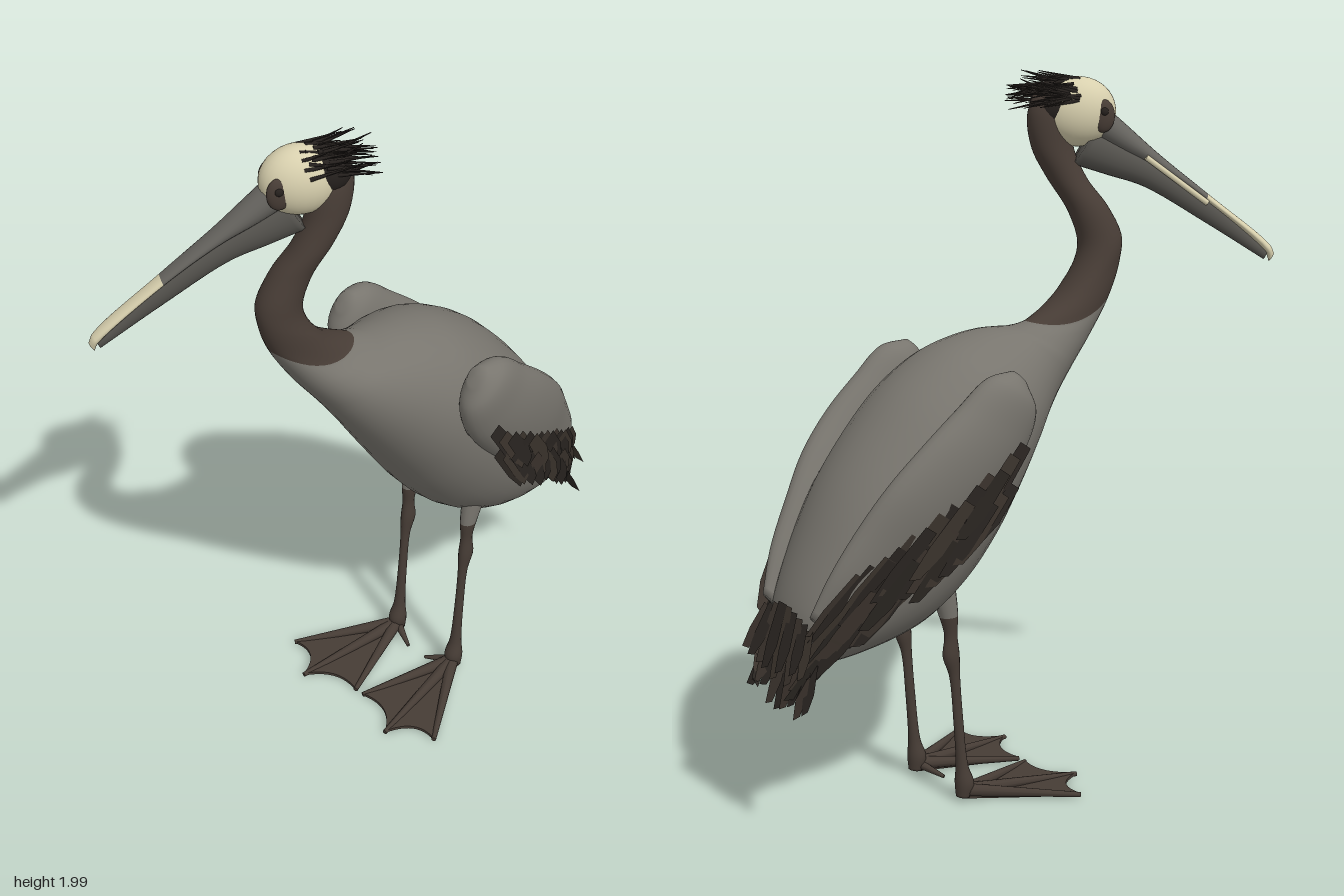
import * as THREE from 'three';
import { mergeGeometries } from 'three/addons/utils/BufferGeometryUtils.js';

const V = (x, y, z) => new THREE.Vector3(x, y, z);
const mat = (name, color, side = THREE.FrontSide) => {
  const m = new THREE.MeshStandardMaterial({ color, side });
  m.name = name;
  return m;
};

// Seeded random for ragged feathers
let seed = 7;
const rnd = () => ((seed = (seed * 16807) % 2147483647) / 2147483647);

// Smooth loft through oval sections [frontZ, frontY, backZ, backY, halfWidth, centreX, sag of the sides].
// split is the section index where the second material begins.
function loft(name, secs, mats, split = secs.length - 1, around = 28, steps = 6) {
  const cf = new THREE.CatmullRomCurve3(secs.map(s => V(s[0], s[1], s[4])));
  const cb = new THREE.CatmullRomCurve3(secs.map(s => V(s[2], s[3], s[5])));
  const rows = (secs.length - 1) * steps, pos = [], idx = [];
  for (let i = 0; i <= rows; i++) {
    const f = cf.getPoint(i / rows), b = cb.getPoint(i / rows), k = Math.floor(i / steps);
    const sag = THREE.MathUtils.lerp(secs[k][6] || 0, secs[Math.min(k + 1, secs.length - 1)][6] || 0, i / steps - k);
    for (let j = 0; j < around; j++) {
      const a = (j / around) * Math.PI * 2, c = Math.cos(a) / 2, s = Math.sin(a);
      pos.push(b.z + s * f.z, (f.y + b.y) / 2 + c * (b.y - f.y) - sag * s * s, (f.x + b.x) / 2 + c * (b.x - f.x));
    }
  }
  for (const s of [secs[0], secs[secs.length - 1]]) pos.push(s[5], (s[1] + s[3]) / 2, (s[0] + s[2]) / 2);
  const c0 = (rows + 1) * around, c1 = c0 + 1;
  for (let j = 0; j < around; j++) idx.push(c0, j, (j + 1) % around);
  for (let i = 0; i < rows; i++) for (let j = 0; j < around; j++) {
    const k = (j + 1) % around, p = i * around, q = p + around;
    idx.push(p + j, q + j, p + k, p + k, q + j, q + k);
  }
  for (let j = 0; j < around; j++) idx.push(c1, rows * around + (j + 1) % around, rows * around + j);
  const g = new THREE.BufferGeometry();
  g.setAttribute('position', new THREE.Float32BufferAttribute(pos, 3));
  g.setIndex(idx);
  g.computeVertexNormals();
  const cut = (around + split * steps * around * 2) * 3;
  g.addGroup(0, cut, 0);
  g.addGroup(cut, idx.length - cut, 1);
  const m = new THREE.Mesh(g, [mats[0], mats[1] || mats[0]]);
  m.name = name;
  return m;
}

// Tapered rod between two points
function rod(p, q, r1, r2, sides = 10) {
  const d = q.clone().sub(p), g = new THREE.CylinderGeometry(r2, r1, d.length(), sides);
  g.applyQuaternion(new THREE.Quaternion().setFromUnitVectors(V(0, 1, 0), d.clone().normalize()));
  return g.translate((p.x + q.x) / 2, (p.y + q.y) / 2, (p.z + q.z) / 2);
}

// Flat feather from p to q, facing n
const blade = new THREE.Shape([[-.4, 0], [.4, 0], [.5, .6], [.35, 1], [-.2, .93], [-.5, .6]].map(a => new THREE.Vector2(...a)));
function feather(p, q, width, n) {
  const d = q.clone().sub(p), side = d.clone().cross(n).normalize();
  const nn = side.clone().cross(d).normalize();
  return new THREE.ShapeGeometry(blade).applyMatrix4(
    new THREE.Matrix4().makeBasis(side.multiplyScalar(width), d, nn).setPosition(p));
}

function merged(name, geos, material) {
  const m = new THREE.Mesh(mergeGeometries(geos), material);
  m.name = name;
  return m;
}

export function createModel() {
  const root = new THREE.Group();
  root.name = 'waterBird';
  const grey = mat('plumageGrey', 0x78756e);
  const brown = mat('neckBrown', 0x483d36);
  const cream = mat('cream', 0xd8d0ae);
  const leg = mat('legBrown', 0x463c35);
  const bill = mat('billGrey', 0x66645f);
  const pouch = mat('pouchGrey', 0x55534e);
  const quill = mat('featherDark', 0x2c2723, THREE.DoubleSide);
  const quill2 = mat('featherBrown', 0x3e362f, THREE.DoubleSide);
  const black = mat('crestDark', 0x26211e);

  // Body and S-shaped neck in one skin
  root.add(loft('bodyAndNeck', [
    [-.66, .52, -.69, .57, .06, 0],
    [-.6, .475, -.67, .66, .13, 0],
    [-.46, .485, -.61, .8, .19, 0],
    [-.3, .53, -.53, .95, .232, 0],
    [-.18, .61, -.43, 1.08, .248, 0],
    [-.08, .72, -.32, 1.19, .248, 0],
    [.01, .85, -.2, 1.265, .226, 0],
    [.09, .97, -.1, 1.295, .188, 0],
    [.155, 1.07, -.02, 1.305, .148, 0],
    [.215, 1.16, .03, 1.305, .12, -.012],
    [.3, 1.28, .05, 1.307, .092, -.028, .015],
    [.365, 1.395, .085, 1.318, .073, -.04, .035],
    [.39, 1.48, .2, 1.39, .064, -.047],
    [.388, 1.54, .262, 1.5, .058, -.05],
    [.35, 1.62, .24, 1.6, .053, -.035],
    [.305, 1.69, .185, 1.7, .052, -.005],
    [.27, 1.77, .145, 1.78, .052, .01],
    [.255, 1.86, .13, 1.87, .05, .012],
    [.23, 1.93, .145, 1.93, .036, .005],
  ], [grey, brown], 11, 36));

  // Folded wings with three overlapping rows of flight feathers
  const wingX = z => .306 - .52 * Math.pow(Math.max(0, -z - .2), 1.6);
  for (const s of [1, -1]) {
    const wing = new THREE.Group();
    wing.name = s > 0 ? 'leftWing' : 'rightWing';
    wing.add(loft('wingCovert', [
      [-.58, .54, -.675, .64, .025, .12],
      [-.48, .62, -.63, .75, .045, .15],
      [-.37, .71, -.56, .87, .058, .18],
      [-.26, .82, -.485, .98, .066, .213],
      [-.16, .93, -.39, 1.08, .066, .237],
      [-.08, 1.04, -.29, 1.165, .063, .247],
      [-.055, 1.13, -.2, 1.235, .053, .253],
      [-.08, 1.2, -.12, 1.245, .025, .25],
    ].map(a => [...a.slice(0, 5), s * a[5]]), [grey]));
    const sets = [[], []];
    // Row: start z, y, end z, y, inset at root, inset at tip, count
    [[-.3, .86, -.62, .57, .022, .035, 12], [-.15, .95, -.6, .64, .012, .025, 14], [-.12, 1.04, -.57, .74, .002, .014, 14]].forEach(([z0, y0, z1, y1, in0, in1, n]) => {
      for (let k = 0; k < n; k++) {
        const t = k / (n - 1), len = .17 + rnd() * .09;
        const z = z0 + (z1 - z0) * t, y = y0 + (y1 - y0) * t + rnd() * .02;
        const z2 = Math.max(-.735, z - len * .58), y2 = y - len * .82;
        const lift = .003 + (k % 3) * .002;
        sets[k % 2].push(feather(V(s * (wingX(z) + lift - in0), y, z), V(s * (wingX(z2) + lift - in1), y2, z2), .05, V(s, 0, 0)));
      }
    });
    wing.add(merged('darkFlightFeathers', sets[0], quill), merged('brownFlightFeathers', sets[1], quill2));
    root.add(wing);
  }

  // Short fanned tail in two layers
  const tail = [[], []];
  for (let layer = 0; layer < 2; layer++) for (let k = 0; k < 9; k++) {
    const x = -.15 + k * .0325, top = .55 + layer * .1 - Math.abs(x) * .3;
    tail[(k + layer) % 2].push(feather(
      V(x * .8, top, -.668 - layer * .012), V(x * 1.1, .35 + layer * .09 + rnd() * .06, -.725 - layer * .01 - (k % 2) * .004), .052, V(0, .2, -1)));
  }
  root.add(merged('darkTailFeathers', tail[0], quill), merged('brownTailFeathers', tail[1], quill2));

  // Legs and webbed feet
  for (const s of [1, -1]) {
    const x = s * .118, limb = new THREE.Group();
    limb.name = s > 0 ? 'leftLeg' : 'rightLeg';
    limb.add(loft('shank', [
      [-.175, .015, -.212, .02, .02, x], [-.16, .055, -.215, .06, .027, x],
      [-.178, .11, -.213, .11, .018, x], [-.193, .25, -.222, .25, .012, x],
      [-.203, .38, -.235, .38, .013, x], [-.205, .44, -.255, .44, .019, x],
      [-.212, .5, -.25, .5, .016, x], [-.21, .555, -.265, .555, .022, x],
      [-.225, .68, -.31, .66, .034, x],
    ], [leg, grey], 7, 16));
    const heel = V(x, .035, -.185);
    const tips = [[.295, .085], [.172, .165], [.015, .1]];
    const toes = tips.map(([tx, tz]) => rod(heel, V(s * tx, .013, tz), .019, .007));
    toes.push(rod(heel, V(s * .035, .012, -.15), .014, .005));
    limb.add(merged('toes', toes, leg));
    const web = new THREE.Shape();
    web.moveTo(x, -.19);
    web.lineTo(s * .295, .085);
    web.quadraticCurveTo(s * .205, .06, s * .172, .165);
    web.quadraticCurveTo(s * .115, .07, s * .015, .1);
    web.closePath();
    const g = new THREE.ExtrudeGeometry(web, { depth: .009, bevelEnabled: false }).rotateX(Math.PI / 2).translate(0, .018, 0);
    const m = new THREE.Mesh(g, leg);
    m.name = 'web';
    limb.add(m);
    root.add(limb);
  }

  // Head, turned to the right
  const head = new THREE.Group();
  head.name = 'head';
  head.position.set(-.02, 1.875, .25);
  head.rotation.y = -.535;
  const ball = (name, m, p, r) => {
    const b = new THREE.Mesh(new THREE.SphereGeometry(1, 28, 20), m);
    b.name = name;
    b.position.set(...p);
    b.scale.set(...r);
    head.add(b);
  };
  ball('skull', cream, [0, .003, .015], [.072, .095, .105]);
  ball('nape', black, [0, .022, -.052], [.06, .066, .066]);
  for (const s of [1, -1]) {
    ball('eyePatch', brown, [s * .047, -.005, .078], [.016, .045, .032]);
    ball('eye', black, [s * .06, .008, .08], [.007, .011, .011]);
  }

  // Long bill: upper half with cream end, pouch below
  head.add(loft('upperBill', [
    [.05, -.06, .07, .035, .045, 0], [.13, -.105, .15, -.035, .038, 0],
    [.225, -.15, .24, -.115, .031, 0], [.37, -.245, .378, -.226, .024, 0],
    [.545, -.392, .558, -.372, .019, 0], [.556, -.418, .57, -.395, .01, 0],
  ], [bill, cream], 3, 20));
  head.add(loft('pouch', [
    [.0, -.14, .06, -.04, .042, 0], [.1, -.172, .135, -.08, .037, 0],
    [.2, -.205, .23, -.135, .029, 0], [.37, -.305, .385, -.24, .021, 0],
    [.54, -.412, .552, -.386, .012, 0],
  ], [pouch], 4, 20));
  const stripe = new THREE.Mesh(rod(V(-.033, -.12, .2), V(-.021, -.25, .375), .008, .008), cream);
  stripe.name = 'billStripe';
  head.add(stripe);

  // Shaggy crest swept back
  const spikes = [];
  for (let k = 0; k < 54; k++) {
    const a = (rnd() - .5) * 2.6, z = .02 - rnd() * .11, len = .06 + rnd() * .075;
    const c = Math.sqrt(1 - ((z - .005) / .125) ** 2);
    const p = V(Math.sin(a) * .068 * c, Math.cos(a) * .09 * c + .005, z);
    spikes.push(rod(p, V(p.x * 1.1 + (rnd() - .5) * .03, p.y + .035 - rnd() * .065, Math.max(z - len, -.18)), .006, .001, 5));
  }
  head.add(merged('crest', spikes, black));
  root.add(head);
  return root;
}
